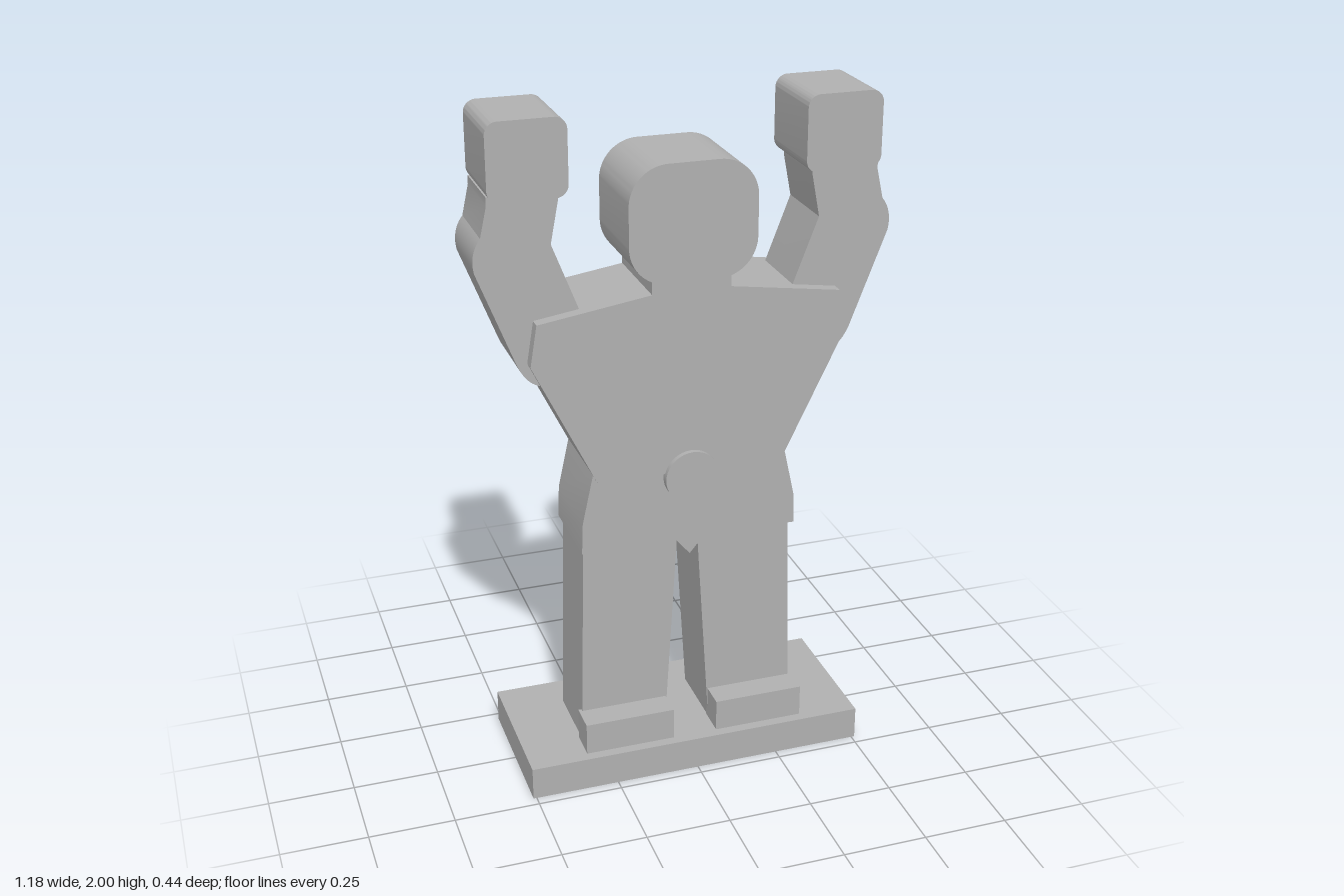
import * as THREE from 'three';
import { toCreasedNormals } from 'three/addons/utils/BufferGeometryUtils.js';

export function createModel() {
  const model = new THREE.Group();
  model.name = 'figure';
  const grey = new THREE.MeshStandardMaterial({ color: 0xb0b0b0 });
  grey.name = 'grey';

  // Extrude a front outline between two depths, smooth only along curves
  function slab(name, shape, back, front) {
    const g = new THREE.ExtrudeGeometry(shape, { depth: front - back, bevelEnabled: false, curveSegments: 10 });
    g.translate(0, 0, back);
    const mesh = new THREE.Mesh(toCreasedNormals(g, 0.4), grey);
    mesh.name = name;
    model.add(mesh);
  }

  const polygon = (points) => new THREE.Shape(points.map(([x, y]) => new THREE.Vector2(x, y)));

  // Outline symmetric about x = 0, given from top to bottom on one side
  const symmetric = (half) => polygon([
    ...half,
    ...half.filter(([x]) => x !== 0).reverse().map(([x, y]) => [-x, y]),
  ]);

  function roundedRect(x0, y0, x1, y1, r) {
    const s = new THREE.Shape();
    s.moveTo(x0 + r, y0);
    s.lineTo(x1 - r, y0);
    s.absarc(x1 - r, y0 + r, r, -Math.PI / 2, 0);
    s.lineTo(x1, y1 - r);
    s.absarc(x1 - r, y1 - r, r, 0, Math.PI / 2);
    s.lineTo(x0 + r, y1);
    s.absarc(x0 + r, y1 - r, r, Math.PI / 2, Math.PI);
    s.lineTo(x0, y0 + r);
    s.absarc(x0 + r, y0 + r, r, Math.PI, Math.PI * 1.5);
    return s;
  }

  // Bent arm with rounded elbow and rounded shoulder end
  function armShape(side) {
    const s = new THREE.Shape();
    s.moveTo(side * 0.355, 1.8);
    s.lineTo(side * 0.357, 1.775);
    s.lineTo(side * 0.38, 1.655);
    s.lineTo(side * 0.307, 1.465);
    s.lineTo(side * 0.27, 1.36);
    s.lineTo(side * 0.36, 1.27);
    s.lineTo(side * 0.42, 1.257);
    s.quadraticCurveTo(side * 0.457, 1.265, side * 0.482, 1.32);
    s.lineTo(side * 0.588, 1.595);
    s.quadraticCurveTo(side * 0.6, 1.65, side * 0.568, 1.69);
    s.lineTo(side * 0.549, 1.775);
    s.lineTo(side * 0.549, 1.8);
    return s;
  }

  // Base
  slab('base', symmetric([[0.51, 0.1], [0.51, 0]]), -0.22, 0.22);

  // Trunk
  slab('torso', symmetric([[0.113, 1.57], [0.113, 1.495], [0.435, 1.447], [0.455, 1.327], [0.275, 0.957]]), -0.132, 0.145);
  slab('pelvis', symmetric([[0.285, 0.98], [0.318, 0.83], [0.322, 0.735], [0.042, 0.735], [0, 0.685]]), -0.124, 0.134);
  slab('head', roundedRect(-0.182, 1.528, 0.182, 1.86, 0.11), -0.113, 0.163);

  // Belt buckle
  const buckle = new THREE.Mesh(new THREE.CylinderGeometry(0.079, 0.079, 0.06, 40), grey);
  buckle.name = 'beltBuckle';
  buckle.rotation.x = Math.PI / 2;
  buckle.position.set(0, 0.94, 0.13);
  model.add(buckle);

  // Limbs, mirrored
  for (const [label, s] of [['left', 1], ['right', -1]]) {
    slab(label + 'Leg', polygon([[s * 0.03, 0.745], [s * 0.312, 0.745], [s * 0.329, 0.1], [s * 0.069, 0.1]]), -0.107, 0.11);
    slab(label + 'Foot', polygon([[s * 0.067, 0.1], [s * 0.336, 0.1], [s * 0.336, 0.197], [s * 0.067, 0.197]]), 0.1, 0.19);
    slab(label + 'Arm', armShape(s), -0.103, 0.109);
    const c = s * 0.441;
    slab(label + 'Hand', roundedRect(c - 0.109, 1.785, c + 0.109, 2, 0.035), -0.117, 0.127);
  }
  return model;
}
